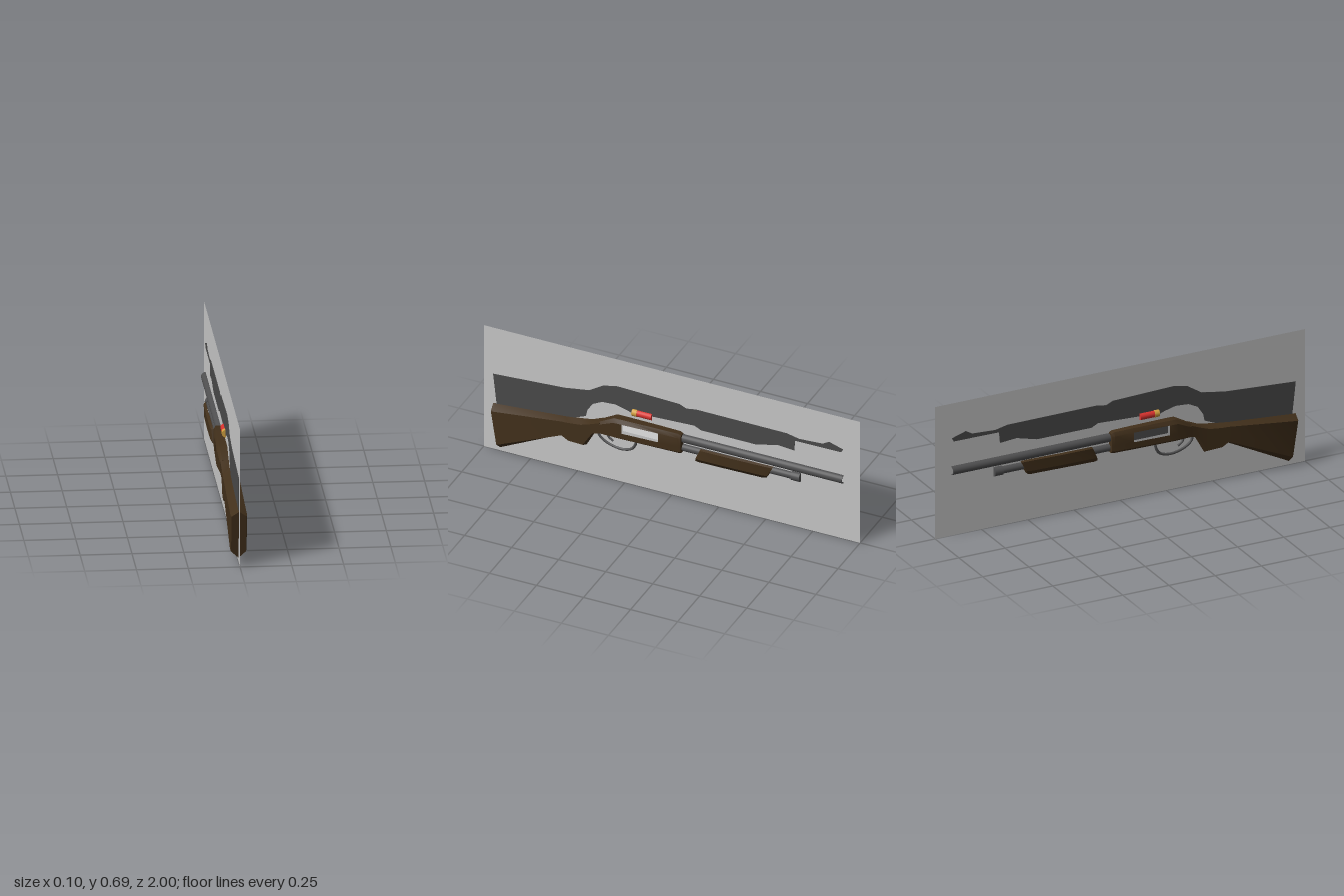
import * as THREE from 'three';
import { toCreasedNormals } from 'three/addons/utils/BufferGeometryUtils.js';

const mat = (name, color, double) => {
  const m = new THREE.MeshStandardMaterial({ color });
  m.name = name;
  if (double) m.side = THREE.DoubleSide;
  return m;
};

// Loft through stations [zTop, yTop, zBottom, yBottom, halfWidth].
// ring holds [x factor, t] points, clockwise from +z; t runs from top (0) to bottom (1).
// skip(i, j) leaves a quad open.
function loft(stations, ring, skip = () => false) {
  const pos = [], idx = [], n = ring.length;
  for (const [zt, yt, zb, yb, w] of stations)
    for (const [x, t] of ring) pos.push(x * w, yt + (yb - yt) * t, zt + (zb - zt) * t);
  for (let i = 0; i < stations.length - 1; i++)
    for (let j = 0; j < n; j++) {
      if (skip(i, j)) continue;
      const a = i * n + j, b = i * n + (j + 1) % n;
      idx.push(a, b, b + n, a, b + n, a + n);
    }
  const faces = THREE.ShapeUtils.triangulateShape(ring.map(([x, t]) => new THREE.Vector2(x, -t)), []);
  const last = (stations.length - 1) * n;
  for (const [a, b, c] of faces) idx.push(a, b, c, last + a, last + c, last + b);
  const g = new THREE.BufferGeometry();
  g.setAttribute('position', new THREE.Float32BufferAttribute(pos, 3));
  g.setIndex(idx);
  return toCreasedNormals(g, 0.5);
}

export function createModel() {
  const group = new THREE.Group();
  const wood = mat('dark wood', 0x42301b, true);
  const metal = mat('gun metal', 0x4f4f50, true);
  const red = mat('red plastic', 0xd8322e);
  const brass = mat('brass', 0xd2a040);
  const panel = mat('light grey board', 0xc8c8c8, true);
  const dark = mat('dark grey outline', 0x4a4a4a);
  const white = mat('white', 0xffffff);

  const add = (name, geometry, material) => {
    const m = new THREE.Mesh(geometry, material);
    m.name = name;
    group.add(m);
    return m;
  };
  // Cylinder lying along z
  const rod = (name, r, y, z0, z1, material, open = false) => {
    const m = add(name, new THREE.CylinderGeometry(r, r, Math.abs(z1 - z0), 20, 1, open), material);
    m.rotation.x = Math.PI / 2;
    m.position.set(0, y, (z0 + z1) / 2);
    return m;
  };

  // Stock and receiver in one carved body, open at the ejection port
  const right = [[0.75, 0], [1, 0.17], [1, 0.61], [1, 0.87], [0.6, 1]];
  const receiverRing = [...right, ...right.map(([x, t]) => [-x, t]).reverse()];
  add('receiver', loft([
    [0.37, 0.335, 0.37, 0.265, 0.042],
    [0.29, 0.38, 0.29, 0.265, 0.05],
    [0.246, 0.381, 0.246, 0.265, 0.05],
    [0.054, 0.379, 0.054, 0.265, 0.042],
    [-0.045, 0.377, -0.045, 0.265, 0.037],
    [-0.06, 0.37, -0.06, 0.268, 0.034],
  ], receiverRing, (i, j) => i === 2 && (j === 1 || j === 7)), wood);

  const stockRing = [[0, 0], [1, 0.1], [1, 0.86], [0, 1], [-1, 0.86], [-1, 0.1]];
  add('stock', loft([
    [0.95, 0.262, 0.912, 0.018, 0.036],
    [0.935, 0.264, 0.897, 0.026, 0.04],
    [0.57, 0.294, 0.57, 0.19, 0.039],
    [0.53, 0.299, 0.535, 0.165, 0.039],
    [0.47, 0.307, 0.455, 0.16, 0.038],
    [0.42, 0.316, 0.405, 0.25, 0.038],
    [0.365, 0.34, 0.365, 0.263, 0.041],
  ], stockRing), wood);

  // Bolt seen inside the port
  const bolt = add('bolt', new THREE.BoxGeometry(0.036, 0.056, 0.2), metal);
  bolt.position.set(0, 0.336, 0.15);
  const plate = add('portPlate', new THREE.BoxGeometry(0.004, 0.056, 0.2), white);
  plate.position.set(0.02, 0.336, 0.15);

  // Barrel with an open bore, and the magazine tube below it
  rod('barrel', 0.0225, 0.3425, -0.05, -0.912, metal, true);
  rod('bore', 0.018, 0.3425, -0.05, -0.912, metal, true);
  const muzzle = add('muzzleRim', new THREE.RingGeometry(0.018, 0.0225, 20), metal);
  muzzle.position.set(0, 0.3425, -0.912);
  rod('magazineTube', 0.019, 0.29, -0.05, -0.65, metal);
  rod('magazineCap', 0.024, 0.29, -0.64, -0.685, metal);

  // Sliding fore-end, a trough around the tube
  const trough = [
    [0.72, 0], [1, 0.06], [1, 0.7], [0.55, 1], [-0.55, 1], [-1, 0.7], [-1, 0.06], [-0.72, 0],
    [-0.68, 0.6], [0.68, 0.6],
  ];
  add('foreEnd', loft([
    [-0.165, 0.322, -0.132, 0.243, 0.036],
    [-0.18, 0.327, -0.15, 0.242, 0.042],
    [-0.34, 0.329, -0.31, 0.245, 0.044],
    [-0.525, 0.332, -0.49, 0.248, 0.043],
    [-0.553, 0.33, -0.512, 0.252, 0.04],
  ], trough), wood);

  // Trigger guard and trigger
  const bent = (name, pts, r) => add(name, new THREE.TubeGeometry(
    new THREE.CatmullRomCurve3(pts.map(([z, y]) => new THREE.Vector3(0, y, z))), 28, r, 8), metal);
  bent('triggerGuard', [[0.395, 0.268], [0.385, 0.235], [0.345, 0.205], [0.27, 0.188],
    [0.215, 0.203], [0.194, 0.235], [0.19, 0.27]], 0.007);
  bent('trigger', [[0.345, 0.27], [0.338, 0.242], [0.312, 0.222]], 0.006);

  // Loose shell above the receiver
  rod('shellCase', 0.0175, 0.417, 0.105, 0.19, red);
  rod('shellHead', 0.019, 0.417, 0.182, 0.208, brass);

  // Thin upright board with a flat dark outline on both faces
  const board = add('board', new THREE.PlaneGeometry(2, 0.695), panel);
  board.rotation.y = Math.PI / 2;
  board.position.y = 0.3475;
  const outline = [
    [0.95, 0.43], [0.57, 0.455], [0.44, 0.477], [0.365, 0.525], [0.29, 0.541], [-0.04, 0.531],
    [-0.075, 0.515], [-0.13, 0.524], [-0.61, 0.522], [-0.675, 0.508], [-0.8, 0.515], [-0.835, 0.535],
    [-0.91, 0.512], [-0.9, 0.494], [-0.655, 0.492], [-0.65, 0.435], [-0.56, 0.442], [-0.45, 0.413],
    [-0.155, 0.413], [-0.12, 0.43], [0.1, 0.42], [0.2, 0.405], [0.24, 0.42], [0.3, 0.435],
    [0.37, 0.43], [0.42, 0.405], [0.45, 0.36], [0.457, 0.325], [0.54, 0.29], [0.93, 0.25],
  ];
  const shape = new THREE.Shape(outline.map(([z, y]) => new THREE.Vector2(-z, y)));
  const flat = new THREE.ExtrudeGeometry(shape, { depth: 0.004, bevelEnabled: false });
  flat.translate(0, 0, -0.002);
  add('boardOutline', flat, dark).rotation.y = Math.PI / 2;

  return group;
}
